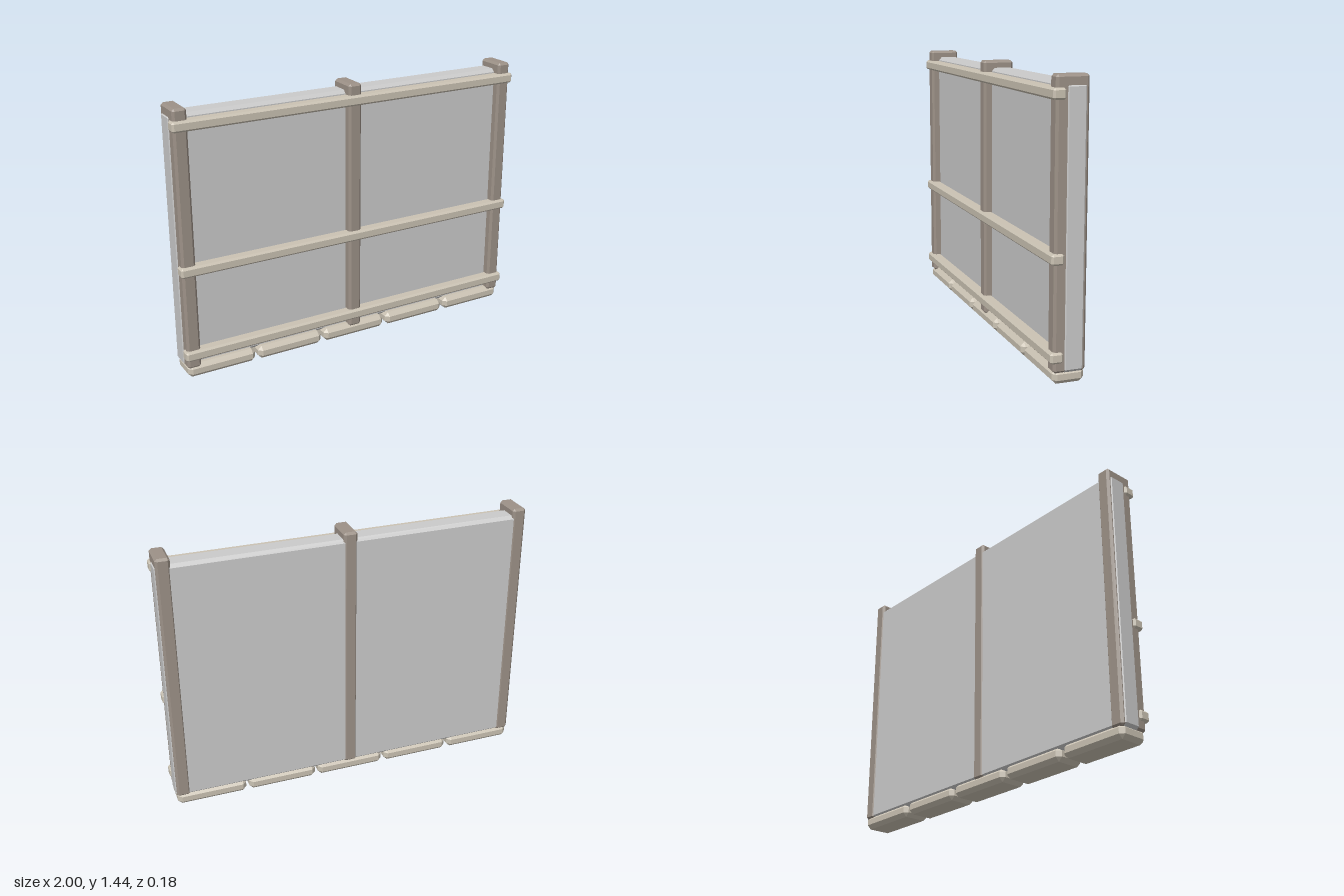
import * as THREE from 'three';
import { ConvexGeometry } from 'three/addons/geometries/ConvexGeometry.js';

const material = (name, color) => {
  const m = new THREE.MeshStandardMaterial({ color });
  m.name = name;
  return m;
};

// Box between two corners with every edge cut by a flat chamfer c
function chamferBox([x0, y0, z0], [x1, y1, z1], c) {
  const half = [(x1 - x0) / 2, (y1 - y0) / 2, (z1 - z0) / 2];
  const points = [];
  for (const sx of [-1, 1]) for (const sy of [-1, 1]) for (const sz of [-1, 1]) {
    for (let axis = 0; axis < 3; axis++) {
      // only one axis reaches the full size at each corner point
      const h = half.map((v, i) => (i === axis ? v : v - c));
      points.push(new THREE.Vector3(sx * h[0], sy * h[1], sz * h[2]));
    }
  }
  return new ConvexGeometry(points)
    .translate((x0 + x1) / 2, (y0 + y1) / 2, (z0 + z1) / 2);
}

export function createModel() {
  const group = new THREE.Group();
  group.name = 'wallSection';

  const plaster = material('pale grey panel', 0xcacaca);
  const darkWood = material('dark post', 0x9c9187);
  const paleWood = material('pale trim', 0xcac2b3);

  const add = (name, from, to, chamfer, mat) => {
    const mesh = new THREE.Mesh(chamferBox(from, to, chamfer), mat);
    mesh.name = name;
    group.add(mesh);
  };

  // Wall panel
  add('panel', [-0.995, 0.055, -0.083], [0.995, 1.4, 0.032], 0.017, plaster);

  // Upright posts wrapping the panel front, top and back
  for (const x of [-0.953, 0, 0.953]) {
    add('post', [x - 0.037, 0.057, -0.088], [x + 0.037, 1.438, 0.075], 0.012, darkWood);
  }

  // Horizontal rails across the front
  for (const y of [0.134, 0.602, 1.352]) {
    add('rail', [-1, y - 0.027, 0.028], [1, y + 0.027, 0.092], 0.01, paleWood);
  }

  // Row of foundation blocks
  for (let i = -2; i <= 2; i++) {
    const x = i * 0.398;
    add('foundationBlock', [x - 0.19, 0, -0.088], [x + 0.19, 0.072, 0.073], 0.021, paleWood);
  }

  return group;
}
